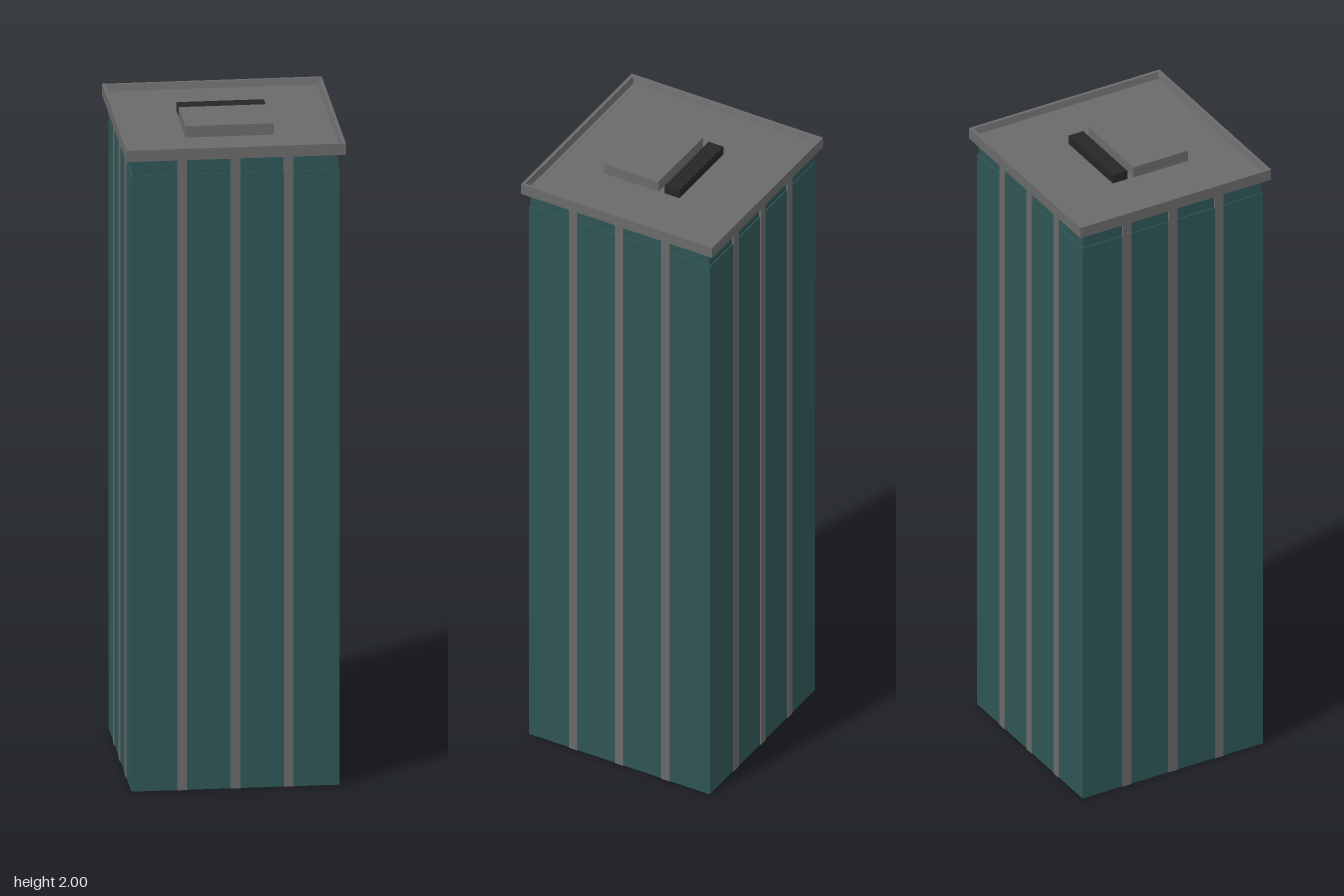
import * as THREE from 'three';

export function createModel() {
  const tower = new THREE.Group();
  tower.name = 'officeTower';

  const glass = new THREE.MeshStandardMaterial({ color: 0x2f5555 });
  const concrete = new THREE.MeshStandardMaterial({ color: 0x6a6a6a, flatShading: true });
  const dark = new THREE.MeshStandardMaterial({ color: 0x262626 });

  // Box given by its size, its bottom height and its centre on the ground plan
  function box(name, material, w, h, d, x, bottom, z, parent = tower) {
    const mesh = new THREE.Mesh(new THREE.BoxGeometry(w, h, d), material);
    mesh.position.set(x, bottom + h / 2, z);
    mesh.name = name;
    parent.add(mesh);
    return mesh;
  }

  // Glazed shaft with a slightly narrower neck under the roof
  box('glassShaft', glass, 0.615, 1.9, 0.615, 0, 0, 0);
  box('glassNeck', glass, 0.608, 0.05, 0.608, 0, 1.9, 0);

  // Three thin vertical ribs on each of the four sides
  for (let side = 0; side < 4; side++) {
    const facade = new THREE.Group();
    facade.name = 'facadeRibs';
    facade.rotation.y = side * Math.PI / 2;
    for (const x of [-0.157, 0, 0.157]) {
      box('rib', concrete, 0.028, 1.95, 0.012, x, 0, 0.304, facade);
    }
    tower.add(facade);
  }

  // Overhanging roof slab with a low parapet around a sunken deck
  const profile = [
    [0, 1.95], [0.325, 1.95], [0.325, 1.985],
    [0.315, 1.985], [0.31, 1.965], [0, 1.965],
  ].map(([r, y]) => new THREE.Vector2(r * Math.SQRT2, y));
  const roof = new THREE.Mesh(new THREE.LatheGeometry(profile, 4, Math.PI / 4), concrete);
  roof.name = 'roofSlab';
  tower.add(roof);

  // Plant room and the low dark vent behind it
  box('plantRoom', concrete, 0.262, 0.04, 0.185, 0, 1.96, 0.0625);
  box('roofVent', dark, 0.258, 0.033, 0.05, 0, 1.96, -0.075);

  return tower;
}
